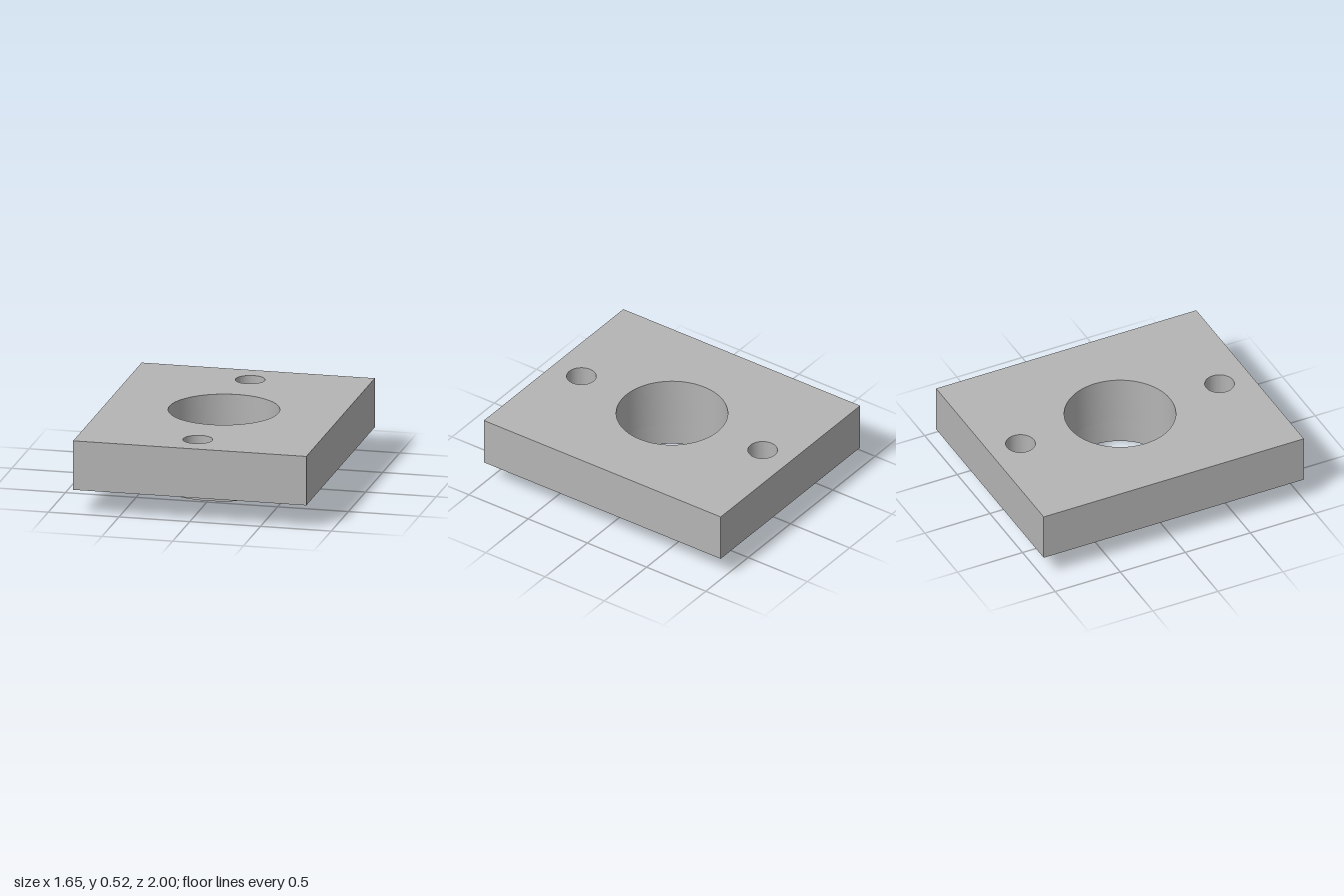
import * as THREE from 'three';
import { toCreasedNormals } from 'three/addons/utils/BufferGeometryUtils.js';

const HALF_WIDTH = 0.824, HALF_LENGTH = 1;
const PLATE_BOTTOM = 0.172, PLATE_TOP = 0.522;
const BORE_RADIUS = 0.384, COLLAR_RADIUS = 0.469;
const BOLT_RADIUS = 0.102, BOLT_OFFSET = 0.765;

const circle = (path, z, radius, clockwise = false) =>
  path.absarc(0, z, radius, 0, Math.PI * 2, clockwise);

const hole = (z, radius) => circle(new THREE.Path(), z, radius, true);

// Extrude a plan outline upwards, with smooth bores and sharp edges
function extrudeUp(shape, bottom, top) {
  const geometry = new THREE.ExtrudeGeometry(shape, {
    depth: top - bottom, bevelEnabled: false, curveSegments: 36,
  });
  geometry.rotateX(-Math.PI / 2);
  geometry.translate(0, bottom, 0);
  return toCreasedNormals(geometry, Math.PI / 6);
}

export function createModel() {
  const group = new THREE.Group();
  group.name = 'flangePlate';
  const grey = new THREE.MeshStandardMaterial({ color: 0xb4b4b4 });
  grey.name = 'grey metal';

  // Rectangular plate with a central bore and two bolt holes
  const outline = new THREE.Shape([
    new THREE.Vector2(-HALF_WIDTH, -HALF_LENGTH),
    new THREE.Vector2(HALF_WIDTH, -HALF_LENGTH),
    new THREE.Vector2(HALF_WIDTH, HALF_LENGTH),
    new THREE.Vector2(-HALF_WIDTH, HALF_LENGTH),
  ]);
  outline.holes.push(hole(0, BORE_RADIUS));
  for (const side of [-1, 1]) outline.holes.push(hole(side * BOLT_OFFSET, BOLT_RADIUS));
  const plate = new THREE.Mesh(extrudeUp(outline, PLATE_BOTTOM, PLATE_TOP), grey);
  plate.name = 'plate';

  // Locating collar beneath the plate, sharing its bore
  const ring = circle(new THREE.Shape(), 0, COLLAR_RADIUS);
  ring.holes.push(hole(0, BORE_RADIUS));
  const collar = new THREE.Mesh(extrudeUp(ring, 0, PLATE_BOTTOM), grey);
  collar.name = 'collar';

  group.add(plate, collar);
  return group;
}
